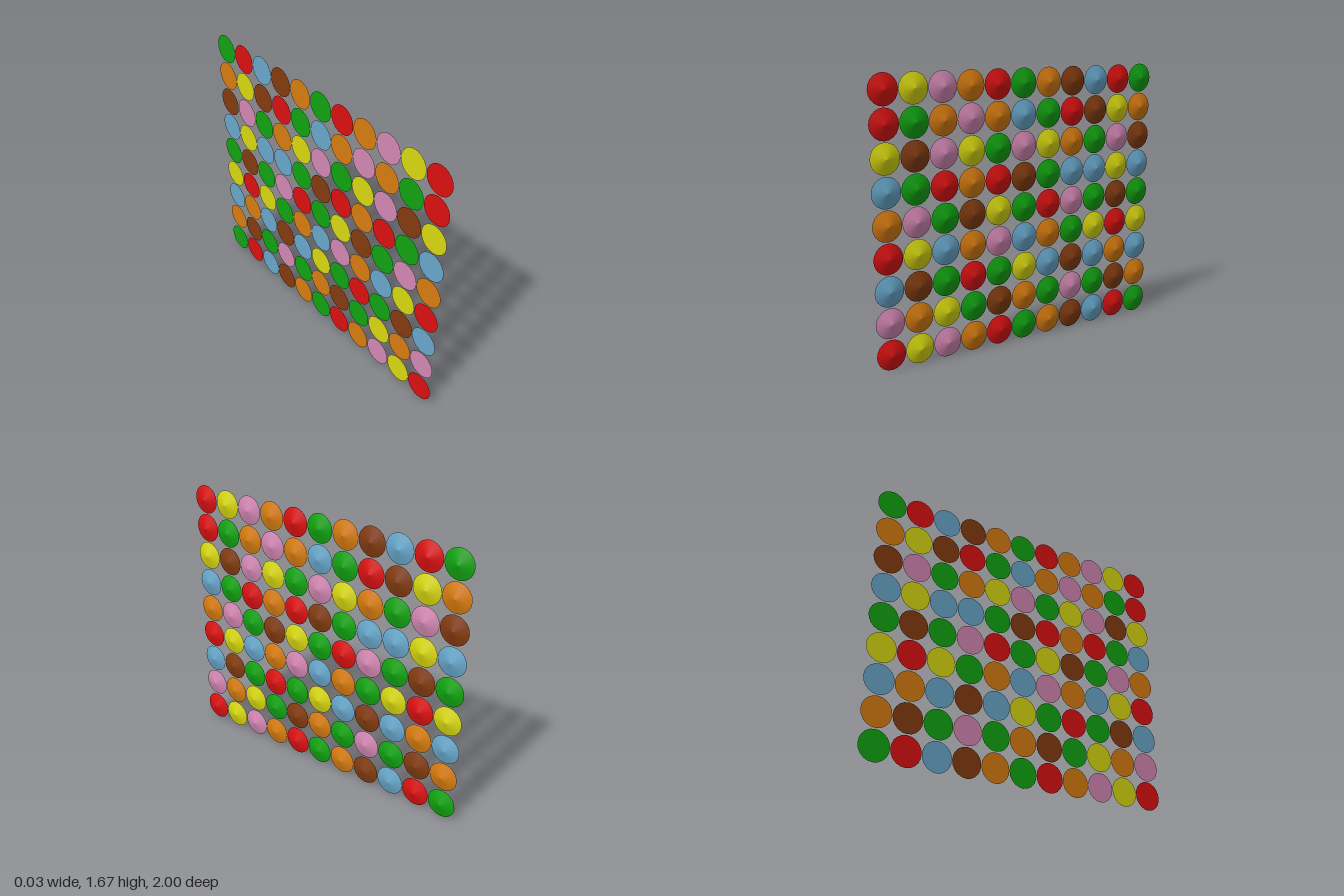
import * as THREE from 'three';

// Colour of each dot, rows from top to bottom, columns from front (+z) to back (-z)
const PATTERN = [
  'RYPORGONLRG',
  'RGOPOLGRNYO',
  'YNPYGPYOGPN',
  'LGRORNGLLYL',
  'OPGNYGRPGNG',
  'RYLOPLOGYRY',
  'LNGRGYLNLOL',
  'POYGNOGPGNO',
  'RYPORGONLRG',
];

const COLORS = {
  R: ['red', 0xdd1111],
  Y: ['yellow', 0xd9d911],
  P: ['pink', 0xd488b4],
  O: ['orange', 0xd97d10],
  G: ['green', 0x11a511],
  N: ['brown', 0x843c10],
  L: ['blue', 0x68a8cc],
};

const RADIUS = 0.0905;
const DEPTH = 0.027;
const STEP_Z = 0.1819;
const STEP_Y = 0.1865;

export function createModel() {
  const model = new THREE.Group();
  model.name = 'dotWall';

  const materials = {};
  for (const key in COLORS) {
    materials[key] = new THREE.MeshStandardMaterial({ color: COLORS[key][1] });
  }

  // Shallow cone with a flat back, its tip towards +x
  const dot = new THREE.ConeGeometry(RADIUS, DEPTH, 20);
  dot.rotateZ(-Math.PI / 2);

  PATTERN.forEach((line, r) => {
    const row = new THREE.Group();
    row.name = `dotRow${r + 1}`;
    row.position.y = RADIUS + (PATTERN.length - 1 - r) * STEP_Y;
    [...line].forEach((key, c) => {
      const mesh = new THREE.Mesh(dot, materials[key]);
      mesh.name = `${COLORS[key][0]}Dot${c + 1}`;
      mesh.position.z = ((line.length - 1) / 2 - c) * STEP_Z;
      row.add(mesh);
    });
    model.add(row);
  });

  return model;
}
